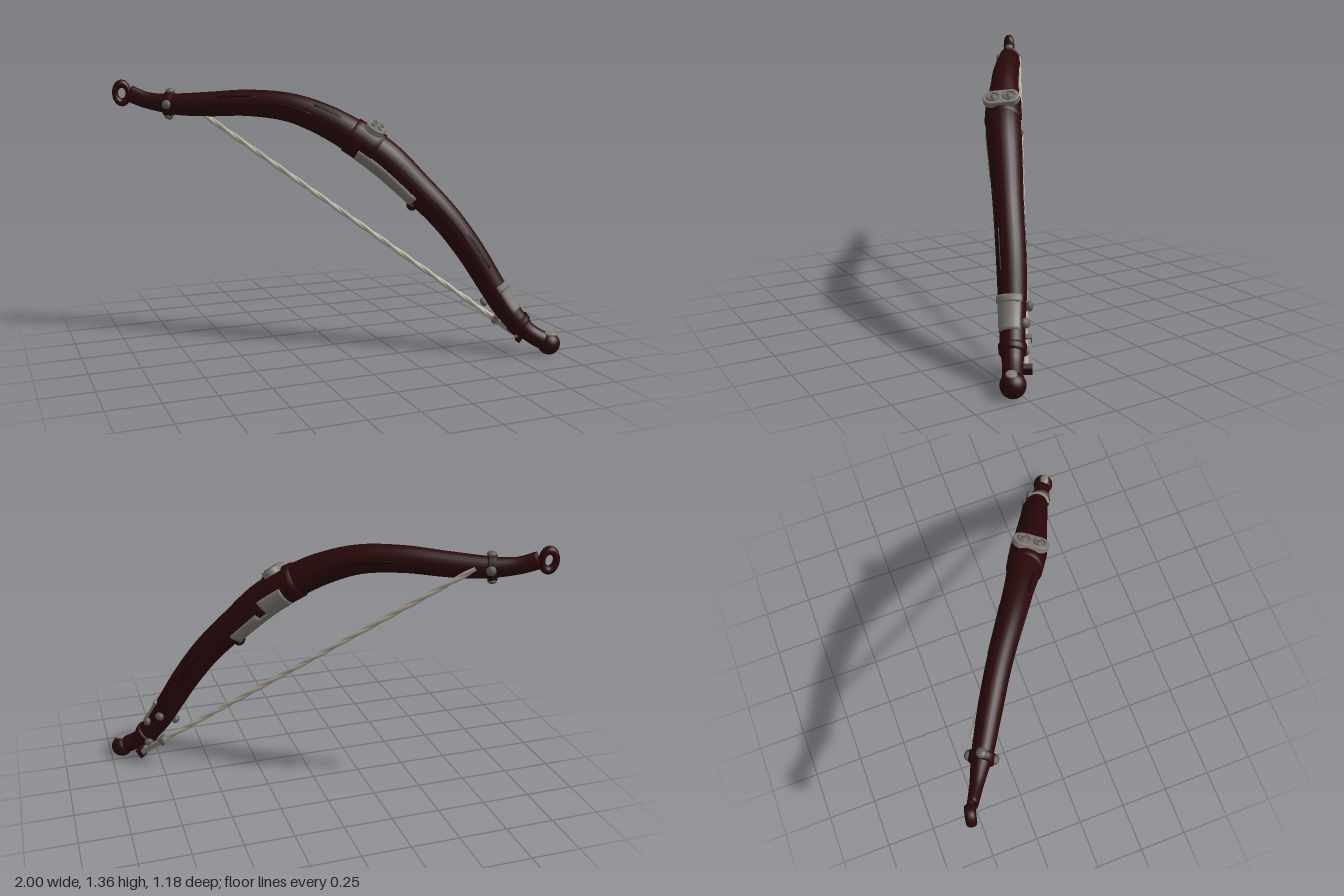
import * as THREE from 'three';
import { mergeVertices } from 'three/addons/utils/BufferGeometryUtils.js';

const V = (x, y, z) => new THREE.Vector3(x, y, z);
const mat = (name, color, side = THREE.FrontSide) => {
  const m = new THREE.MeshStandardMaterial({ color, side });
  m.name = name;
  return m;
};

// Limb stations: x, height, sideways shift, half depth, half width
const STATIONS = [
  [-0.915, 1.284, 0, 0.043, 0.024], [-0.84, 1.252, 0, 0.042, 0.030],
  [-0.74, 1.235, 0, 0.050, 0.045], [-0.68, 1.232, 0, 0.056, 0.050],
  [-0.55, 1.235, 0, 0.062, 0.055], [-0.38, 1.243, 0.005, 0.066, 0.058],
  [-0.20, 1.222, 0.02, 0.072, 0.063], [-0.05, 1.160, 0.03, 0.080, 0.070],
  [0.07, 1.085, 0.035, 0.085, 0.080], [0.20, 0.985, 0.035, 0.088, 0.084],
  [0.34, 0.840, 0.025, 0.080, 0.077], [0.48, 0.680, 0.015, 0.074, 0.070],
  [0.59, 0.520, 0.005, 0.070, 0.068], [0.68, 0.360, 0, 0.066, 0.064],
  [0.74, 0.250, 0, 0.062, 0.058], [0.80, 0.165, 0, 0.057, 0.054],
  [0.86, 0.105, 0, 0.045, 0.045], [0.94, 0.055, 0, 0.046, 0.044],
];
const LAST = STATIONS.length - 1;
const C = Math.cos(Math.PI / 6), S = 0.5;
const path = new THREE.CatmullRomCurve3(STATIONS.map(([x, y, w]) => V((x + S * w) / C, y, w)));
const size = new THREE.CatmullRomCurve3(STATIONS.map(([, , , a, b]) => V(a, b, 0)));

// Surface frame at station k and angle phi (0 = outer back, PI = string side)
function frame(k, phi, grow = 0) {
  const t = k / LAST, r = size.getPoint(t), tangent = path.getTangent(t).setZ(0).normalize();
  const out = V(-tangent.y, tangent.x, 0), side = V(0, 0, 1);
  const c = Math.cos(phi), s = Math.sin(phi);
  const pos = path.getPoint(t).addScaledVector(out, (r.x + grow) * c).addScaledVector(side, (r.y + grow) * s);
  const normal = out.clone().multiplyScalar(c / r.x).addScaledVector(side, s / r.y).normalize();
  return { pos, normal, tangent, across: tangent.clone().cross(normal) };
}

// Skin over a patch of the limb; raised patches sink at their borders
function skin(k0, k1, p0, p1, grow, rows, cols) {
  const pos = [], idx = [], full = p1 - p0 > 6.28;
  const grid = (n, a, b) => {
    const g = Array.from({ length: n + 1 }, (_, i) => a + (b - a) * i / n);
    return [a, ...g, b];
  };
  const ks = grid(rows, k0, k1), ps = full ? grid(cols, p0, p1).slice(1, -1) : grid(cols, p0, p1);
  ks.forEach((k, j) => ps.forEach((p, i) => {
    const rim = j === 0 || j === ks.length - 1 || (!full && (i === 0 || i === ps.length - 1));
    pos.push(...frame(k, p, rim ? -0.006 : grow).pos.toArray());
  }));
  const n = ps.length;
  for (let j = 0; j < ks.length - 1; j++) for (let i = 0; i < n - 1; i++) {
    const a = j * n + i;
    idx.push(a, a + 1, a + n, a + 1, a + n + 1, a + n);
  }
  let g = new THREE.BufferGeometry();
  g.setAttribute('position', new THREE.Float32BufferAttribute(pos, 3));
  g.setIndex(idx);
  if (full) g = mergeVertices(g, 1e-5);
  g.computeVertexNormals();
  return g;
}

export function createModel() {
  const wood = mat('dark red wood', 0x2a0809, THREE.DoubleSide);
  const grain = mat('dark grain', 0x170607, THREE.DoubleSide);
  const silver = mat('tarnished silver', 0x7f7973, THREE.DoubleSide);
  const iron = mat('grey studs', 0x5f5d5b);
  const cord = mat('bowstring cord', 0xb0a797);

  const model = new THREE.Group();
  const bow = new THREE.Group();
  bow.name = 'bow';
  bow.rotation.y = -Math.PI / 6;
  model.add(bow);

  const add = (name, geo, material, parent = bow) => {
    const m = new THREE.Mesh(geo, material);
    m.name = name;
    parent.add(m);
    return m;
  };
  // Seats an object on the limb: x across, y along, z outward
  const mount = (obj, k, phi, grow = 0) => {
    const f = frame(k, phi, grow);
    obj.quaternion.setFromRotationMatrix(new THREE.Matrix4().makeBasis(f.across, f.tangent, f.normal));
    obj.position.copy(f.pos);
    return obj;
  };
  const TAU = Math.PI * 2;

  // Limb and raised wooden bands
  add('limb', skin(0, LAST, 0, TAU, 0, 110, 24), wood);
  add('upperCollar', skin(1.85, 2.35, 0, TAU, 0.013, 3, 24), wood);
  add('gripBand', skin(7.9, 8.75, 0, TAU, 0.007, 6, 24), wood);
  add('lowerCollar', skin(15.0, 15.4, 0, TAU, 0.008, 3, 24), wood);

  // Carved streaks
  [[4.3, 5.2, 0.9], [5.6, 6.6, 1.4], [6.6, 7.4, 0.7], [10.6, 11.7, 1.2], [11.6, 12.6, 0.8], [5.2, 6.4, 4.6], [11, 12.2, 4.8]]
    .forEach(([a, b, p]) => add('streak', skin(a, b, p, p + 0.16, 0.0015, 8, 2), grain));

  // Upper tip: an upright open eye
  const eye = add('upperTip', new THREE.TorusGeometry(0.045, 0.02, 12, 32), wood);
  eye.position.set(-1.1, 1.287, 0);
  eye.scale.set(0.75, 1.05, 1.15);
  eye.rotation.y = 0.3;

  // Lower knob with a silver cap plate
  const knob = add('lowerKnob', new THREE.SphereGeometry(0.056, 24, 16), wood);
  knob.position.copy(path.getPoint(1)).setY(0.056);
  const cap = add('knobPlate', new THREE.SphereGeometry(0.03, 16, 8), silver);
  cap.position.copy(knob.position).add(V(0.005, 0.05, 0.006));
  cap.scale.set(1.2, 0.4, 0.85);

  // Oval plate with two round bosses
  const badge = new THREE.Group();
  badge.name = 'badge';
  const oval = new THREE.Shape();
  oval.absarc(0.04, 0, 0.043, -Math.PI / 2, Math.PI / 2);
  oval.absarc(-0.04, 0, 0.043, Math.PI / 2, Math.PI * 1.5);
  add('badgePlate', new THREE.ExtrudeGeometry(oval, {
    depth: 0.022, bevelSize: 0.005, bevelThickness: 0.005, bevelSegments: 2,
  }), silver, badge);
  for (const sx of [-1, 1]) {
    add('bossRing', new THREE.TorusGeometry(0.027, 0.005, 8, 20), iron, badge).position.set(sx * 0.038, 0, 0.027);
    const dome = add('bossDome', new THREE.SphereGeometry(0.016, 12, 8), iron, badge);
    dome.position.set(sx * 0.038, 0, 0.026);
    dome.scale.z = 0.5;
  }
  bow.add(mount(badge, 8.4, 0.12, -0.004));

  // Grip plate around the string side, notched on the rear face
  add('gripPlate', skin(8.35, 10.2, Math.PI - 1.2, Math.PI + 0.85, 0.009, 16, 12), silver);
  add('gripPlateUpper', skin(8.35, 9.1, Math.PI + 0.8, Math.PI + 1.75, 0.009, 8, 6), silver);
  add('gripPlateLower', skin(9.35, 10.2, Math.PI + 0.8, Math.PI + 1.25, 0.009, 8, 4), silver);
  const hook = add('gripHook', new THREE.SphereGeometry(0.03, 12, 8), wood);
  mount(hook, 10.25, Math.PI, 0).scale.set(1.4, 0.9, 0.9);

  // Lower limb plate and its strap
  add('limbPlate', skin(13.25, 14.5, -0.55, 1.2, 0.008, 10, 10), silver);
  add('limbPlateStrap', skin(13.2, 13.45, -0.6, 1.25, 0.012, 3, 10), silver);

  // Studs
  const stud = new THREE.IcosahedronGeometry(0.024, 1);
  const studs = [[13.55, Math.PI], [13.5, -1.55], [14.2, -0.95], [15.1, 4.1]];
  for (let i = 0; i < 4; i++) studs.push([2.1, i * Math.PI / 2]);
  studs.forEach(([k, p]) => mount(add('stud', stud, iron), k, p, 0.013).scale.set(1, 1, 0.7));

  // Twisted string of two strands
  const from = V(-0.645, 1.24, -0.435), to = V(0.845, 0.07, 0.42);
  const dir = to.clone().sub(from).normalize();
  const u = dir.clone().cross(V(0, 1, 0)).normalize(), v = dir.clone().cross(u);
  for (const phase of [0, Math.PI]) {
    const pts = Array.from({ length: 121 }, (_, i) => {
      const a = i / 120 * Math.PI * 16 + phase;
      return from.clone().lerp(to, i / 120).addScaledVector(u, 0.004 * Math.cos(a)).addScaledVector(v, 0.004 * Math.sin(a));
    });
    add('string', new THREE.TubeGeometry(new THREE.CatmullRomCurve3(pts), 240, 0.0105, 8), cord, model);
  }

  // Bracket clamping the lower end of the string: x across, y along, z through
  const bracket = new THREE.Group();
  bracket.name = 'stringBracket';
  bracket.quaternion.setFromRotationMatrix(new THREE.Matrix4().makeBasis(u, dir, u.clone().cross(dir)));
  bracket.position.copy(to);
  model.add(bracket);
  for (const sx of [-1, 1]) {
    add('bracketBar', new THREE.BoxGeometry(0.014, 0.17, 0.024), silver, bracket).position.set(sx * 0.016, -0.085, 0);
  }
  add('bracketClaw', new THREE.BoxGeometry(0.05, 0.025, 0.05), wood, bracket).position.y = 0.005;
  add('bracketClip', new THREE.BoxGeometry(0.055, 0.022, 0.04), iron, bracket).position.y = -0.15;
  return model;
}
